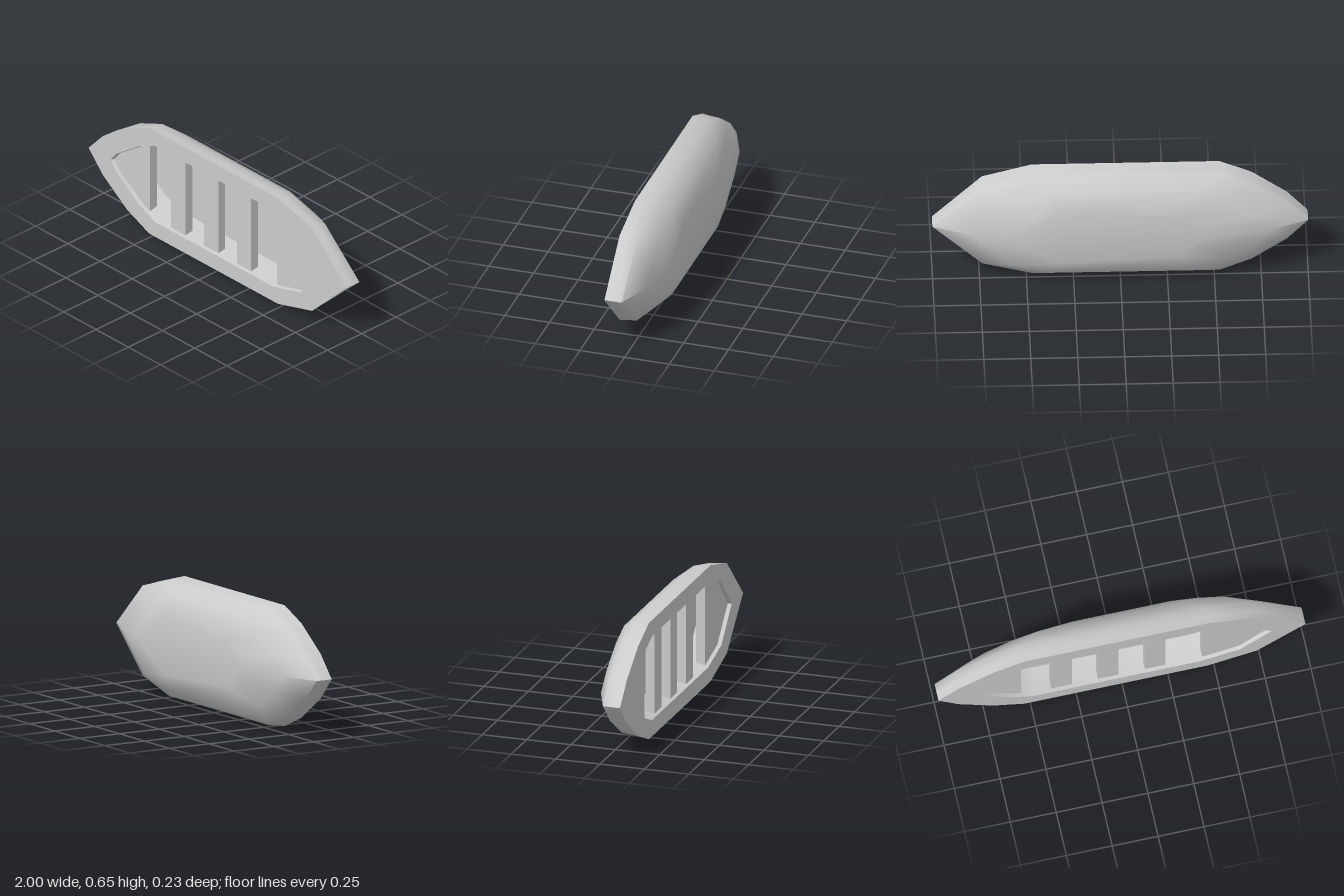
import * as THREE from 'three';
import { toCreasedNormals } from 'three/addons/utils/BufferGeometryUtils.js';

const MID = 0.327; // height of the boat's centreline
const RIM = 0.113; // z of the gunwale

// Half outlines from bow to stern as [x, half width]
const OUTER = [[1, 0], [0.735, 0.255], [0.47, 0.327], [-0.53, 0.327], [-0.7, 0.255], [-0.89, 0.12], [-1, 0]];
const INNER = [[0.815, 0], [0.645, 0.18], [0.43, 0.236], [-0.48, 0.236], [-0.6, 0.186], [-0.78, 0.06], [-0.83, 0]];

// Mirror a half outline into a closed counter-clockwise loop
function loop(half, sx = 1, sy = 1, dx = 0) {
  const lower = half.slice(1, -1).reverse().map(([x, w]) => [x, -w]);
  return [...half, ...lower].map(([x, w]) => new THREE.Vector2(x * sx + dx, MID + w * sy));
}

// Skin a stack of loops running from the rim backwards, closing the last one
function loft(rings, inward) {
  const pos = [], index = [], n = rings[0].pts.length;
  rings.forEach(({ pts, z }) => pts.forEach((p) => pos.push(p.x, p.y, z)));
  const tri = (a, b, c) => (inward ? index.push(a, b, c) : index.push(a, c, b));
  for (let i = 0; i < rings.length - 1; i++) {
    for (let j = 0; j < n; j++) {
      const a = i * n + j, b = i * n + (j + 1) % n;
      tri(a, b, a + n);
      tri(b, b + n, a + n);
    }
  }
  const last = (rings.length - 1) * n;
  THREE.ShapeUtils.triangulateShape(rings.at(-1).pts, []).forEach(([a, b, c]) => tri(last + a, last + b, last + c));
  const geo = new THREE.BufferGeometry();
  geo.setAttribute('position', new THREE.Float32BufferAttribute(pos, 3));
  geo.setIndex(index);
  return geo;
}

export function createModel() {
  const boat = new THREE.Group();
  boat.name = 'rowingBoat';
  const material = new THREE.MeshStandardMaterial({ color: 0xcccccc });
  const add = (name, geo) => {
    const mesh = new THREE.Mesh(geo, material);
    mesh.name = name;
    boat.add(mesh);
    return mesh;
  };

  // Outer hull, narrowing towards a flat bottom
  add('hull', toCreasedNormals(loft([
    { pts: loop(OUTER), z: RIM },
    { pts: loop(OUTER, 1, 0.975), z: 0.07 },
    { pts: loop(OUTER, 1, 0.957), z: 0.017 },
    { pts: loop(OUTER, 0.8, 0.785), z: -0.064 },
    { pts: loop(OUTER, 0.535, 0.49, 0.065), z: -RIM },
  ], false), 1.1));

  // Flat gunwale around the opening
  const rimShape = new THREE.Shape(loop(OUTER));
  rimShape.holes.push(new THREE.Path(loop(INNER)));
  add('gunwale', new THREE.ShapeGeometry(rimShape)).position.z = RIM;

  // Inner walls and floor
  add('interior', toCreasedNormals(loft([
    { pts: loop(INNER), z: RIM },
    { pts: loop(INNER, 0.93, 0.9), z: -0.038 },
  ], true), 0.5));

  // Decks at both ends, just below the gunwale
  const decks = {
    bowDeck: [[0.808, 0], [0.64, 0.177], [0.44, 0.23], [0.44, 0]],
    sternDeck: [[-0.545, 0], [-0.545, 0.204], [-0.597, 0.181], [-0.775, 0.057], [-0.822, 0]],
  };
  for (const [name, half] of Object.entries(decks)) {
    const geo = new THREE.ExtrudeGeometry(new THREE.Shape(loop(half)), { depth: 0.05, bevelEnabled: false });
    add(name, geo).position.z = 0.043;
  }

  // Three benches across the boat
  [-0.325, -0.07, 0.185].forEach((x, i) => {
    add(`bench${i + 1}`, new THREE.BoxGeometry(0.112, 0.468, 0.05)).position.set(x, MID, 0.068);
  });

  return boat;
}
